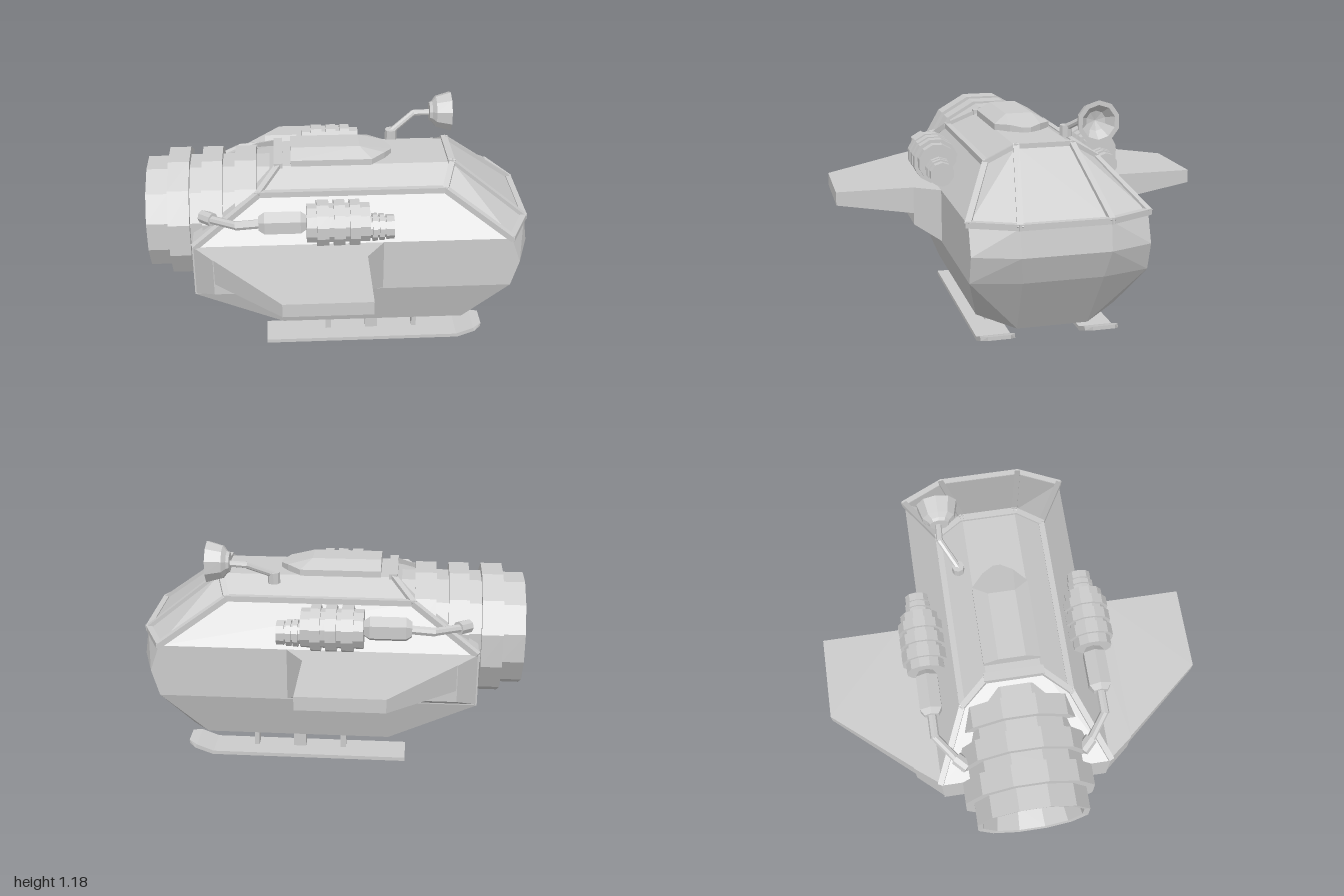
import * as THREE from 'three';
import { ConvexGeometry } from 'three/addons/geometries/ConvexGeometry.js';

const grey = new THREE.MeshStandardMaterial({ color: 0xcccccc, flatShading: true, side: THREE.DoubleSide });

export function createModel() {
  const model = new THREE.Group();

  const add = (name, geometry, x = 0, y = 0, z = 0) => {
    const mesh = new THREE.Mesh(geometry, grey);
    mesh.name = name;
    mesh.position.set(x, y, z);
    model.add(mesh);
    return mesh;
  };
  // faceted solid through a few corners; mirror doubles them across z
  const solid = (name, points, mirror = false) => {
    const all = points.map(p => new THREE.Vector3(...p));
    if (mirror) points.forEach(([x, y, z]) => all.push(new THREE.Vector3(x, y, -z)));
    return add(name, new ConvexGeometry(all));
  };
  // square bar between two points
  const beam = (name, a, b, w = 0.03, h = 0.03) => {
    const from = new THREE.Vector3(...a), to = new THREE.Vector3(...b);
    const mesh = add(name, new THREE.BoxGeometry(w, h, from.distanceTo(to) + w * 0.6));
    mesh.position.copy(from).lerp(to, 0.5);
    mesh.lookAt(to);
    return mesh;
  };
  // round pipe between two points
  const pipe = (name, a, b, r) => {
    const from = new THREE.Vector3(...a), to = new THREE.Vector3(...b);
    const g = new THREE.CylinderGeometry(r, r, from.distanceTo(to) + r * 0.6, 8).rotateX(Math.PI / 2);
    const mesh = add(name, g);
    mesh.position.copy(from).lerp(to, 0.5);
    mesh.lookAt(to);
    return mesh;
  };
  // turned part along x; profile is [x, radius]
  const turned = (name, profile, sides, y, z) => {
    const k = 1 / Math.cos(Math.PI / sides / 2);
    const pts = profile.map(([x, r]) => new THREE.Vector2(r * k, x));
    const g = new THREE.LatheGeometry(pts, sides, Math.PI / sides).rotateZ(-Math.PI / 2);
    return add(name, g, 0, y, z);
  };
  // stepped profile from [start, end, radius] runs
  const steps = runs => runs.flatMap(([a, b, r]) => [[a, r], [b, r]]);

  // hull with nose, belly and cabin
  solid('hull', [
    [0.76, 0.095, 0.18], [0.65, 0.145, 0.36], [-0.31, 0.145, 0.36], [-0.31, 0.095, 0.18],
    [0.94, 0.39, 0.2], [0.88, 0.39, 0.44], [-0.76, 0.39, 0.44],
    [0.995, 0.53, 0.22], [0.92, 0.53, 0.44],
    [0.975, 0.67, 0.22], [0.87, 0.67, 0.44], [-0.76, 0.67, 0.44],
    [0.59, 0.965, 0.14], [0.54, 0.88, 0.28], [-0.42, 0.88, 0.28], [-0.3, 0.965, 0.14],
  ], true);

  // roof hatch, bevelled and pointed forwards
  solid('roofHatch', [
    [-0.25, 0.95, 0.145], [-0.25, 0.995, 0.145], [-0.25, 1.035, 0.07],
    [0.17, 0.95, 0.145], [0.17, 0.995, 0.145], [0.11, 1.035, 0.07],
    [0.24, 0.95, 0.08], [0.24, 1.0, 0.08], [0.28, 0.95, 0.02], [0.28, 0.99, 0.02],
  ], true);

  // frames across the middle
  beam('windshieldTopFrame', [0.585, 0.965, -0.14], [0.585, 0.965, 0.14], 0.035);
  beam('noseFrame', [0.972, 0.675, -0.22], [0.972, 0.675, 0.22]);
  beam('rearRoofFrame', [-0.315, 0.965, -0.14], [-0.315, 0.965, 0.14], 0.045, 0.04);

  // main engine: ribbed drum with a recessed nozzle
  turned('mainEngine', [
    [-0.88, 0], [-0.88, 0.24], [-0.995, 0.265],
    ...steps([
      [-1, -0.885, 0.295], [-0.885, -0.775, 0.34], [-0.775, -0.71, 0.3], [-0.71, -0.605, 0.34],
      [-0.605, -0.54, 0.3], [-0.54, -0.43, 0.34], [-0.43, -0.36, 0.295],
    ]),
    [-0.36, 0],
  ], 12, 0.645, 0);

  for (const s of [1, -1]) {
    // cabin frame
    const frame = [
      ['windshieldInnerFrame', [0.59, 0.965, 0.14], [0.972, 0.675, 0.22]],
      ['windshieldOuterFrame', [0.54, 0.88, 0.28], [0.87, 0.675, 0.44]],
      ['windshieldShoulderFrame', [0.59, 0.965, 0.14], [0.54, 0.88, 0.28]],
      ['noseSideFrame', [0.972, 0.675, 0.22], [0.87, 0.675, 0.44]],
      ['roofRail', [-0.42, 0.88, 0.28], [0.54, 0.88, 0.28]],
      ['rearFrame', [-0.745, 0.675, 0.44], [-0.42, 0.88, 0.28]],
      ['rearShoulderFrame', [-0.42, 0.88, 0.28], [-0.315, 0.965, 0.14]],
    ];
    for (const [name, a, b] of frame) {
      beam(name, [a[0], a[1], a[2] * s], [b[0], b[1], b[2] * s]);
    }

    // wing root fairing and tapered wing
    solid('wingFairing', [
      [-0.76, 0.39, 0.43 * s], [0.22, 0.39, 0.43 * s], [-0.76, 0.67, 0.43 * s], [0.22, 0.67, 0.43 * s],
      [-0.65, 0.47, 0.57 * s], [0.12, 0.47, 0.57 * s], [-0.65, 0.67, 0.57 * s], [0.12, 0.67, 0.57 * s],
    ]);
    solid('wing', [
      [-0.65, 0.53, 0.565 * s], [0.12, 0.53, 0.565 * s], [-0.65, 0.67, 0.565 * s], [0.12, 0.67, 0.565 * s],
      [-0.31, 0.6, 0.97 * s], [0.12, 0.6, 0.97 * s], [-0.31, 0.67, 0.97 * s], [0.12, 0.67, 0.97 * s],
    ]);

    // side thruster: ribbed body, narrow ribbed tip, hexagonal coupling, feed pipe
    const pz = 0.44 * s;
    turned('thrusterBody', [
      [-0.18, 0],
      ...steps([
        [-0.18, -0.13, 0.1], [-0.13, -0.07, 0.118], [-0.07, -0.045, 0.1], [-0.045, 0.01, 0.118],
        [0.01, 0.035, 0.1], [0.035, 0.085, 0.118], [0.085, 0.135, 0.1],
      ]),
      [0.135, 0],
    ], 12, 0.795, pz);
    turned('thrusterTip', [
      ...steps([
        [0.12, 0.15, 0.055], [0.15, 0.175, 0.07], [0.175, 0.185, 0.055], [0.185, 0.21, 0.068],
        [0.21, 0.22, 0.052], [0.22, 0.26, 0.062],
      ]),
      [0.26, 0],
    ], 10, 0.763, pz);
    turned('thrusterCoupling', [
      [-0.42, 0], [-0.42, 0.04], [-0.39, 0.062], [-0.21, 0.062], [-0.18, 0.04],
    ], 6, 0.8, pz);
    pipe('feedPipe', [-0.41, 0.798, pz], [-0.53, 0.79, pz], 0.024);
    pipe('feedPipe', [-0.53, 0.79, pz], [-0.68, 0.772, 0.33 * s], 0.022);
    pipe('feedSocket', [-0.66, 0.773, 0.34 * s], [-0.7, 0.768, 0.3 * s], 0.035);

    // landing skid with upturned tip and three struts
    solid('skid', [0, 0.02].flatMap(y => [
      [-0.4, y, 0.18 * s], [-0.4, y, 0.355 * s], [0.635, y, 0.18 * s], [0.635, y, 0.355 * s],
    ]));
    solid('skidTip', [
      [0.635, 0, 0.18 * s], [0.635, 0, 0.355 * s], [0.63, 0.02, 0.18 * s], [0.63, 0.02, 0.355 * s],
      [0.73, 0.035, 0.18 * s], [0.73, 0.035, 0.355 * s], [0.72, 0.055, 0.18 * s], [0.72, 0.055, 0.355 * s],
      [0.765, 0.047, 0.21 * s], [0.765, 0.047, 0.325 * s], [0.765, 0.067, 0.21 * s], [0.765, 0.067, 0.325 * s],
    ]);
    for (const [x, w] of [[-0.065, 0.03], [0.17, 0.065], [0.405, 0.025]]) {
      add('skidStrut', new THREE.BoxGeometry(w, 0.11, 0.055), x, 0.065, 0.235 * s);
    }
  }

  // dish antenna on a bent mast
  pipe('dishFoot', [0.3, 0.95, -0.2], [0.3, 0.99, -0.2], 0.032);
  pipe('dishMast', [0.3, 0.985, -0.2], [0.43, 1.06, -0.275], 0.017);
  pipe('dishMast', [0.43, 1.06, -0.275], [0.54, 1.065, -0.27], 0.017);
  turned('dish', [
    [0.515, 0], [0.515, 0.05], [0.53, 0.058], [0.55, 0.085], [0.63, 0.108], [0.63, 0.085], [0.585, 0.05], [0.57, 0],
  ], 10, 1.07, -0.265);

  return model;
}
